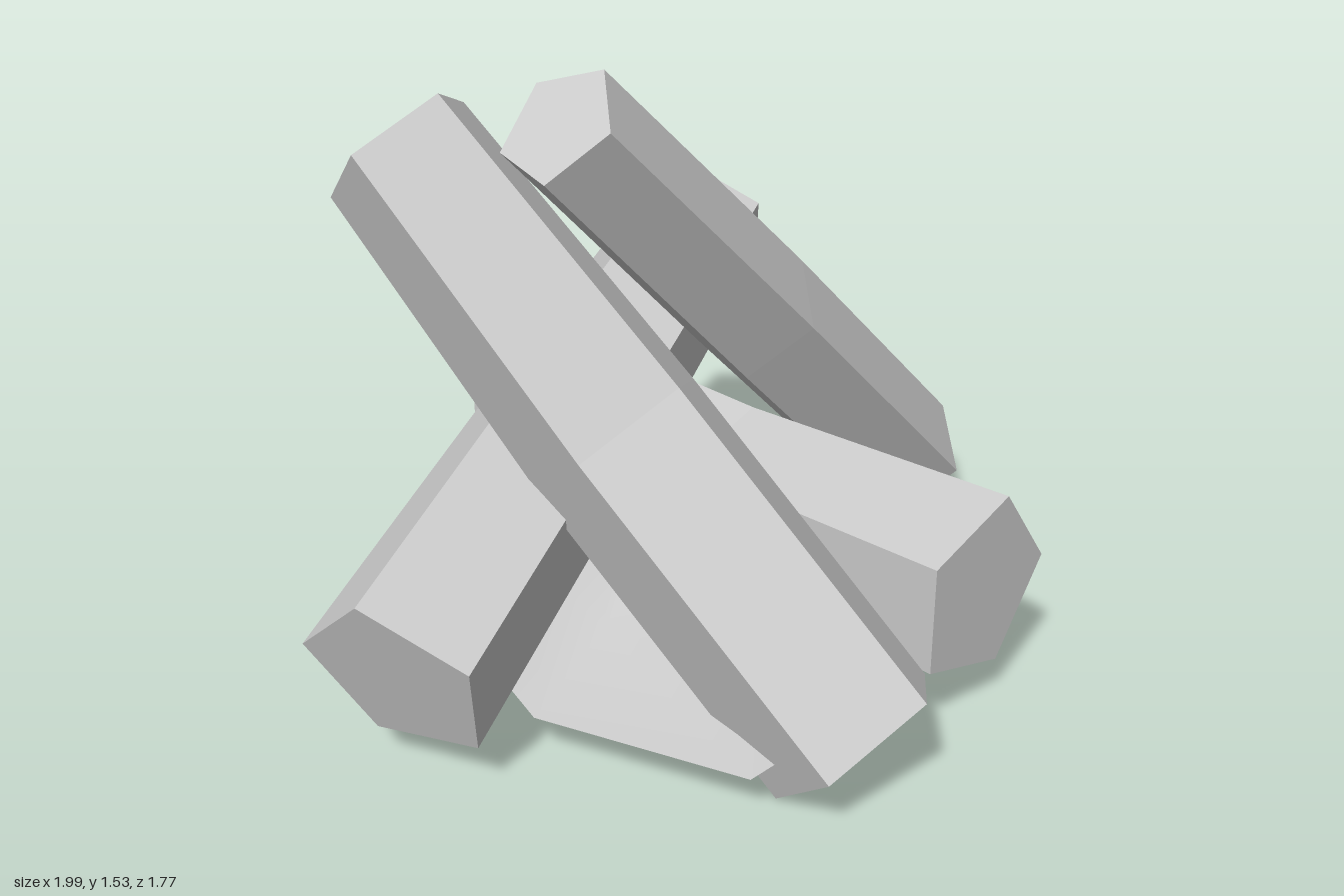
import * as THREE from 'three';

const grey = new THREE.MeshStandardMaterial({ color: 0xcccccc, flatShading: true });
const ashGrey = new THREE.MeshStandardMaterial({ color: 0xcccccc, side: THREE.DoubleSide });
const vec = (a) => new THREE.Vector3(...a);

// Five-sided log through three centres; "ridge" is the direction of its first corner
function makeLog({ name, centres, radii, ridge }) {
  const [start, mid, end] = centres.map(vec);
  const axis = end.clone().sub(start).normalize();
  const up = vec(ridge).projectOnPlane(axis).normalize();
  const side = axis.clone().cross(up);
  const rings = [start, mid, end];
  const geometry = new THREE.CylinderGeometry(1, 1, 1, 5, 2);
  const pos = geometry.attributes.position;
  const p = new THREE.Vector3();
  for (let i = 0; i < pos.count; i++) {
    const ring = Math.round((pos.getY(i) + 0.5) * 2);
    p.copy(rings[ring])
      .addScaledVector(side, pos.getX(i) * radii[ring])
      .addScaledVector(up, pos.getZ(i) * radii[ring]);
    pos.setXYZ(i, p.x, p.y, p.z);
  }
  geometry.computeVertexNormals();
  const mesh = new THREE.Mesh(geometry, grey);
  mesh.name = name;
  return mesh;
}

// Open heap of ash: an irregular outline drawn inward and upward in rings
function makeAsh() {
  const outline = [
    [-0.03, -0.66], [-0.45, -0.42], [-0.67, 0.08], [-0.56, 0.6], [-0.1, 0.68],
    [0.41, 0.53], [0.64, 0.25], [0.58, -0.2], [0.3, -0.5],
  ];
  const profile = [[1, 0.135], [0.55, 0.2], [0.28, 0.32], [0, 0.38]];
  const n = outline.length;
  const points = [];
  const index = [];
  profile.forEach(([scale, y], r) => {
    outline.forEach(([x, z], i) => {
      points.push(x * scale, y, z * scale);
      if (r === 0) return;
      const next = (i + 1) % n;
      const a = (r - 1) * n + i, b = (r - 1) * n + next;
      const c = r * n + next, d = r * n + i;
      index.push(a, b, d);
      if (scale > 0) index.push(b, c, d);
    });
  });
  const geometry = new THREE.BufferGeometry();
  geometry.setAttribute('position', new THREE.Float32BufferAttribute(points, 3));
  geometry.setIndex(index);
  geometry.computeVertexNormals();
  const mesh = new THREE.Mesh(geometry, ashGrey);
  mesh.name = 'ashHeap';
  return mesh;
}

export function createModel() {
  const group = new THREE.Group();
  group.name = 'campfire';

  const logs = [
    {
      name: 'leaningFrontLog',
      centres: [[-0.314, 0.15, 0.72], [-0.345, 0.725, 0.085], [-0.446, 1.334, -0.464]],
      radii: [0.232, 0.235, 0.197],
      ridge: [-0.02, 1, 1],
    },
    {
      name: 'leaningSideLog',
      centres: [[0.868, 0.174, 0.15], [0.247, 0.805, 0.055], [-0.375, 1.436, -0.047]],
      radii: [0.183, 0.175, 0.152],
      ridge: [-0.1, 0.1, 1],
    },
    {
      name: 'crossingLog',
      centres: [[-0.923, 0.306, -0.09], [-0.147, 0.575, -0.24], [0.629, 0.848, -0.388]],
      radii: [0.238, 0.225, 0.198],
      ridge: [-0.32, 0.94, -0.085],
    },
    {
      name: 'groundLog',
      centres: [[0.105, 0.347, 0.795], [0.235, 0.3, 0], [0.348, 0.34, -0.86]],
      radii: [0.234, 0.222, 0.194],
      ridge: [1, 0, 0.14],
    },
  ];
  logs.forEach((log) => group.add(makeLog(log)));
  group.add(makeAsh());
  return group;
}
